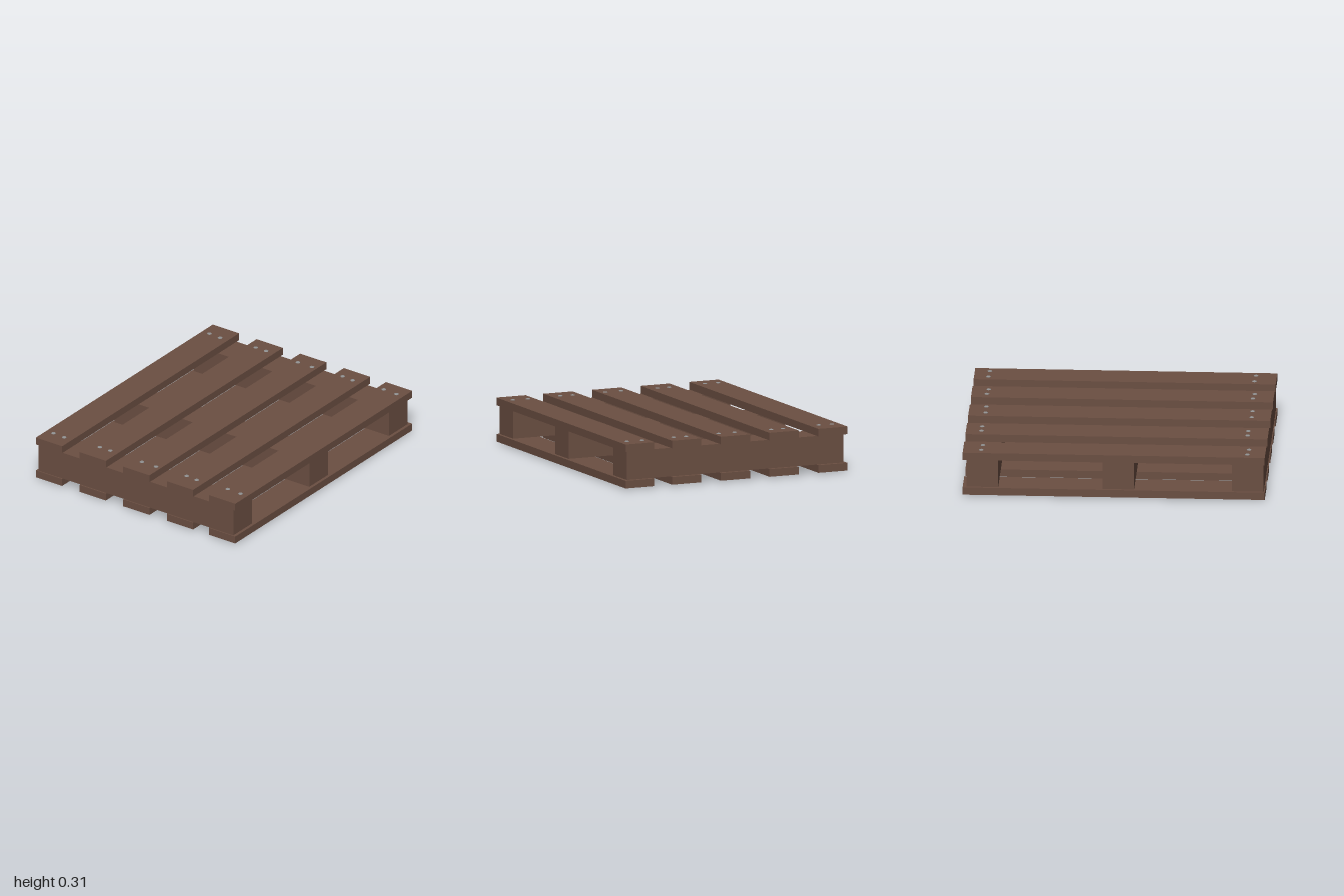
import * as THREE from 'three';

export function createModel() {
  const pallet = new THREE.Group();
  pallet.name = 'pallet';

  const wood = new THREE.MeshStandardMaterial({ color: 0x6b4f42 });
  wood.name = 'brown wood';
  const steel = new THREE.MeshStandardMaterial({ color: 0x8f8f8f, flatShading: true });
  steel.name = 'grey steel';

  function box(name, w, h, d, x, y, z) {
    const mesh = new THREE.Mesh(new THREE.BoxGeometry(w, h, d), wood);
    mesh.name = name;
    mesh.position.set(x, y, z);
    pallet.add(mesh);
  }

  // Three cross beams
  for (const [name, z] of [['backBeam', -0.87], ['middleBeam', 0.03], ['frontBeam', 0.888]]) {
    box(name, 1.588, 0.192, 0.209, -0.003, 0.16, z);
  }

  // Five deck boards above and below the beams
  [-0.707, -0.35, 0.005, 0.361, 0.704].forEach((x, i) => {
    box('topBoard' + (i + 1), 0.214, 0.051, 2, x, 0.282, 0);
    box('bottomBoard' + (i + 1), 0.214, 0.051, 2, x, 0.038, 0);
  });

  // Low domed nail heads, two at each board end, set slightly unevenly
  const headGeometry = new THREE.LatheGeometry([
    new THREE.Vector2(0.016, -0.003),
    new THREE.Vector2(0.016, 0.002),
    new THREE.Vector2(0.011, 0.005),
    new THREE.Vector2(0, 0.006),
  ], 8);

  function nailRow(name, spots, y, flip) {
    for (const [x, z] of spots) {
      for (const shift of [0, 1.762]) {
        const nail = new THREE.Mesh(headGeometry, steel);
        nail.name = name;
        nail.position.set(x, y, z + shift);
        nail.rotation.x = flip ? Math.PI : 0;
        pallet.add(nail);
      }
    }
  }

  nailRow('topNail', [
    [-0.755, -0.88], [-0.663, -0.873], [-0.39, -0.897], [-0.305, -0.897], [-0.04, -0.888],
    [0.075, -0.888], [0.318, -0.898], [0.405, -0.89], [0.648, -0.905], [0.755, -0.9],
  ], 0.3075, false);
  nailRow('bottomNail', [
    [-0.76, -0.88], [-0.665, -0.873], [-0.41, -0.89], [-0.30, -0.89], [-0.055, -0.885],
    [0.06, -0.885], [0.30, -0.875], [0.40, -0.88], [0.645, -0.87], [0.77, -0.875],
  ], 0.0105, true);

  return pallet;
}
